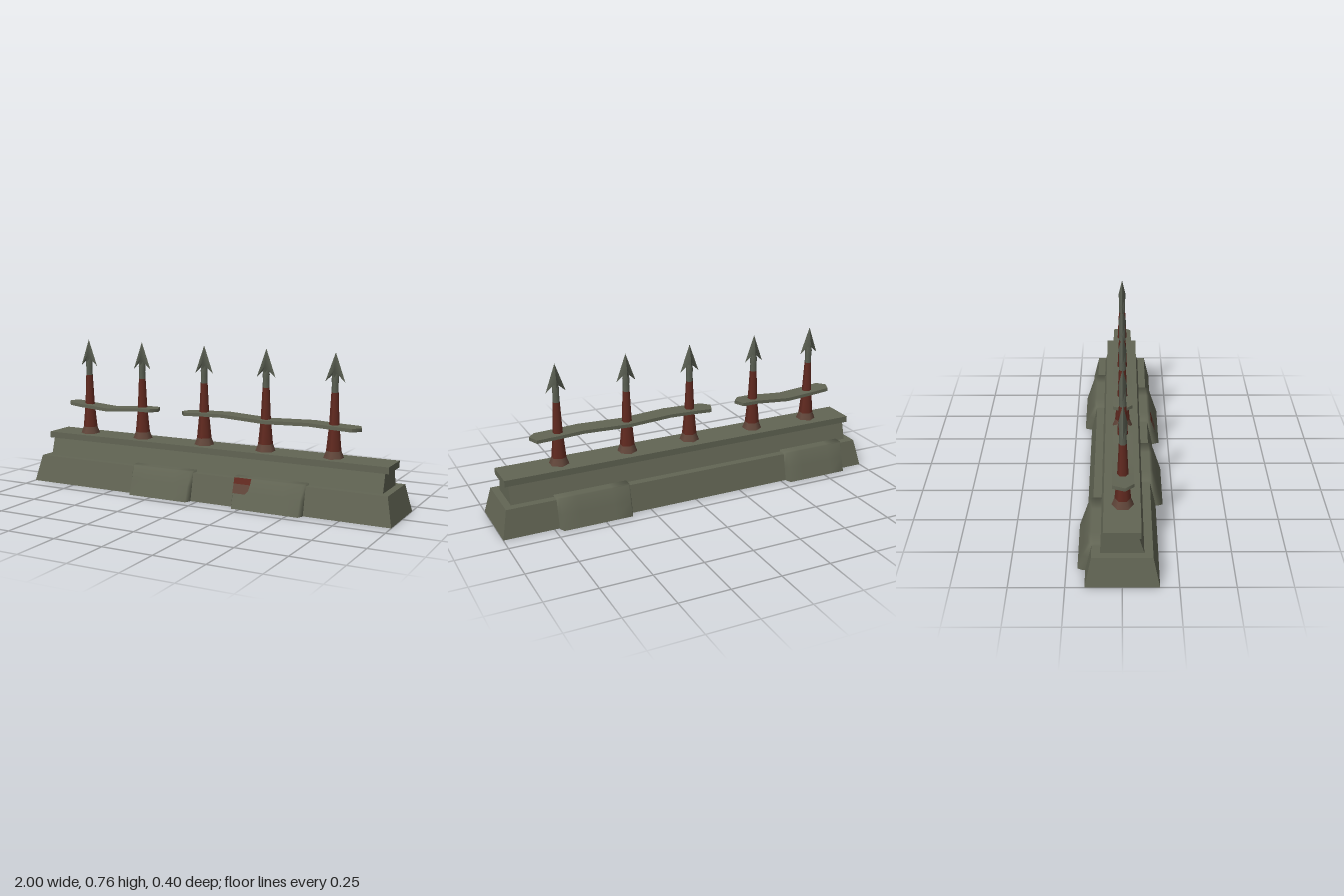
import * as THREE from 'three';
import { mergeVertices, toCreasedNormals } from 'three/addons/utils/BufferGeometryUtils.js';

const material = (name, color, side = THREE.FrontSide) => {
  const m = new THREE.MeshStandardMaterial({ color, side });
  m.name = name;
  return m;
};

// Moves every vertex of a geometry by a rule.
function reshape(geometry, rule) {
  const p = geometry.attributes.position, v = new THREE.Vector3();
  for (let i = 0; i < p.count; i++) {
    v.fromBufferAttribute(p, i);
    rule(v);
    p.setXYZ(i, v.x, v.y, v.z);
  }
  geometry.computeVertexNormals();
  return geometry;
}

// Leaves out the faces of a box whose side numbers are listed (3 = bottom, 5 = back).
function withoutSides(box, sides) {
  const index = Array.from(box.index.array);
  const kept = box.groups.filter(g => !sides.includes(g.materialIndex));
  box.setIndex(kept.flatMap(g => index.slice(g.start, g.start + g.count)));
  box.clearGroups();
  return box;
}

// Box from y0 to y1 with separate half sizes at bottom and top.
function taperedBox(y0, y1, [x0, z0], [x1, z1]) {
  return reshape(new THREE.BoxGeometry(2, 1, 2), v => {
    const t = v.y + 0.5;
    v.set(v.x * (x0 + (x1 - x0) * t), y0 + (y1 - y0) * t, v.z * (z0 + (z1 - z0) * t));
  });
}

// Hollow sloping block with softened edges that clasps one side of the base.
function blockGeometry(halfWidth) {
  const box = withoutSides(new THREE.BoxGeometry(2, 1, 1, 4, 2, 4), [3, 5]);
  const g = reshape(box, v => {
    const t = v.y + 0.5, out = v.z + 0.5;
    const outer = 0.2 - 0.048 * t;
    const chamfer = out > 0.99 ? 0.012 : 0;
    v.set(v.x * (halfWidth - chamfer), 0.147 * t, 0.095 + (outer - 0.095) * out);
  });
  g.deleteAttribute('normal');
  g.deleteAttribute('uv');
  const smooth = mergeVertices(g);
  smooth.computeVertexNormals();
  return smooth;
}

// Bent plank following a line of [x, y] points, with blunt pointed ends.
function railGeometry(points) {
  const last = points.length - 1;
  const g = new THREE.BoxGeometry(2, 0.017, 2, last, 1, 2);
  return reshape(g, v => {
    const i = Math.round((v.x + 1) / 2 * last);
    const side = v.z;
    const setback = side === 0 ? 0 : side > 0 ? 0.035 : 0.022;
    const x = points[i][0] + (i === 0 ? setback : i === last ? -setback : 0);
    v.set(x, points[i][1] + v.y, side === 0 ? 0.012 : side * 0.048 + 0.004);
  });
}

// Barbed spear point: tip, two barbs, front and back ridges, notches, lower ridges.
function spearheadGeometry() {
  const corners = [
    0, 0.765, 0, 0.05, 0.625, 0, -0.05, 0.625, 0,
    0, 0.68, 0.02, 0, 0.68, -0.02, 0.017, 0.655, 0, -0.017, 0.655, 0,
    0, 0.63, 0.015, 0, 0.63, -0.015,
  ];
  const faces = [
    0, 3, 1, 0, 1, 4, 0, 4, 2, 0, 2, 3,
    1, 3, 5, 1, 5, 4, 2, 6, 3, 2, 4, 6,
    3, 7, 5, 3, 6, 7, 4, 5, 8, 4, 8, 6,
  ];
  const g = new THREE.BufferGeometry();
  g.setAttribute('position', new THREE.Float32BufferAttribute(corners, 3));
  g.setIndex(faces);
  return toCreasedNormals(g, 1.1);
}

const lathe = points => new THREE.LatheGeometry(points.map(p => new THREE.Vector2(...p)), 6);

// Flat patch lying on the sloping face of a front block.
const patch = points => reshape(
  new THREE.ShapeGeometry(new THREE.Shape(points.map(p => new THREE.Vector2(...p)))),
  v => { v.z = 0.2025 - 0.048 * v.y / 0.147; });

export function createModel() {
  const model = new THREE.Group();
  model.name = 'spikedWall';
  const stone = material('mossy stone', 0x626554, THREE.DoubleSide);
  const iron = material('grey iron', 0x5b6053);
  const rust = material('red rust', 0x622a20);
  const dull = material('brown rust', 0x61463a);
  const add = (parent, name, geometry, mat) => {
    const mesh = new THREE.Mesh(geometry, mat);
    mesh.name = name;
    parent.add(mesh);
    return mesh;
  };

  // Stepped wall, hollow underneath
  add(model, 'plinth', withoutSides(taperedBox(0, 0.137, [1, 0.165], [0.97, 0.135]), [3]), stone);
  add(model, 'wallCore', withoutSides(taperedBox(0.137, 0.229, [0.935, 0.096], [0.935, 0.07]), [3]), stone);
  add(model, 'copingSlab', taperedBox(0.228, 0.26, [0.955, 0.083], [0.955, 0.083]), stone);

  // Blocks on the front and back: centre x, half width, facing
  const blocks = [[-0.21, 0.175, 1], [0.383, 0.187, 1], [-0.705, 0.176, -1], [0.537, 0.187, -1]];
  for (const [x, halfWidth, facing] of blocks) {
    const block = add(model, facing > 0 ? 'frontBlock' : 'backBlock', blockGeometry(halfWidth), stone);
    block.position.x = x;
    if (facing < 0) block.rotation.y = Math.PI;
  }

  // Two-tone rust stain on a front block
  add(model, 'rustStainTop', patch([[0.205, 0.147], [0.205, 0.118], [0.293, 0.118], [0.296, 0.147]]), rust);
  add(model, 'rustStainRun', patch([[0.205, 0.118], [0.205, 0.073], [0.272, 0.073], [0.287, 0.09], [0.293, 0.118]]), dull);

  // Iron spikes
  const foot = lathe([[0.05, 0.26], [0.037, 0.295]]);
  const shaft = lathe([[0.037, 0.295], [0.025, 0.42], [0.0175, 0.575]]);
  const neck = lathe([[0.0175, 0.575], [0.016, 0.61], [0.0175, 0.64], [0.012, 0.68]]);
  const head = spearheadGeometry();
  for (const x of [-0.743, -0.41, -0.043, 0.3, 0.657]) {
    const spike = new THREE.Group();
    spike.name = 'spike';
    spike.position.set(x, 0, 0.003);
    add(spike, 'spikeFoot', foot, dull);
    add(spike, 'spikeShaft', shaft, rust);
    add(spike, 'spikeNeck', neck, iron);
    add(spike, 'spearhead', head, iron);
    model.add(spike);
  }

  // Warped rails joining the spikes
  add(model, 'rightRail', railGeometry(
    [[-0.868, 0.42], [-0.77, 0.413], [-0.6, 0.401], [-0.42, 0.416], [-0.31, 0.416]]), stone);
  add(model, 'leftRail', railGeometry(
    [[-0.168, 0.415], [-0.06, 0.419], [0.08, 0.423], [0.31, 0.41], [0.54, 0.418], [0.68, 0.411], [0.797, 0.408]]), stone);

  return model;
}
